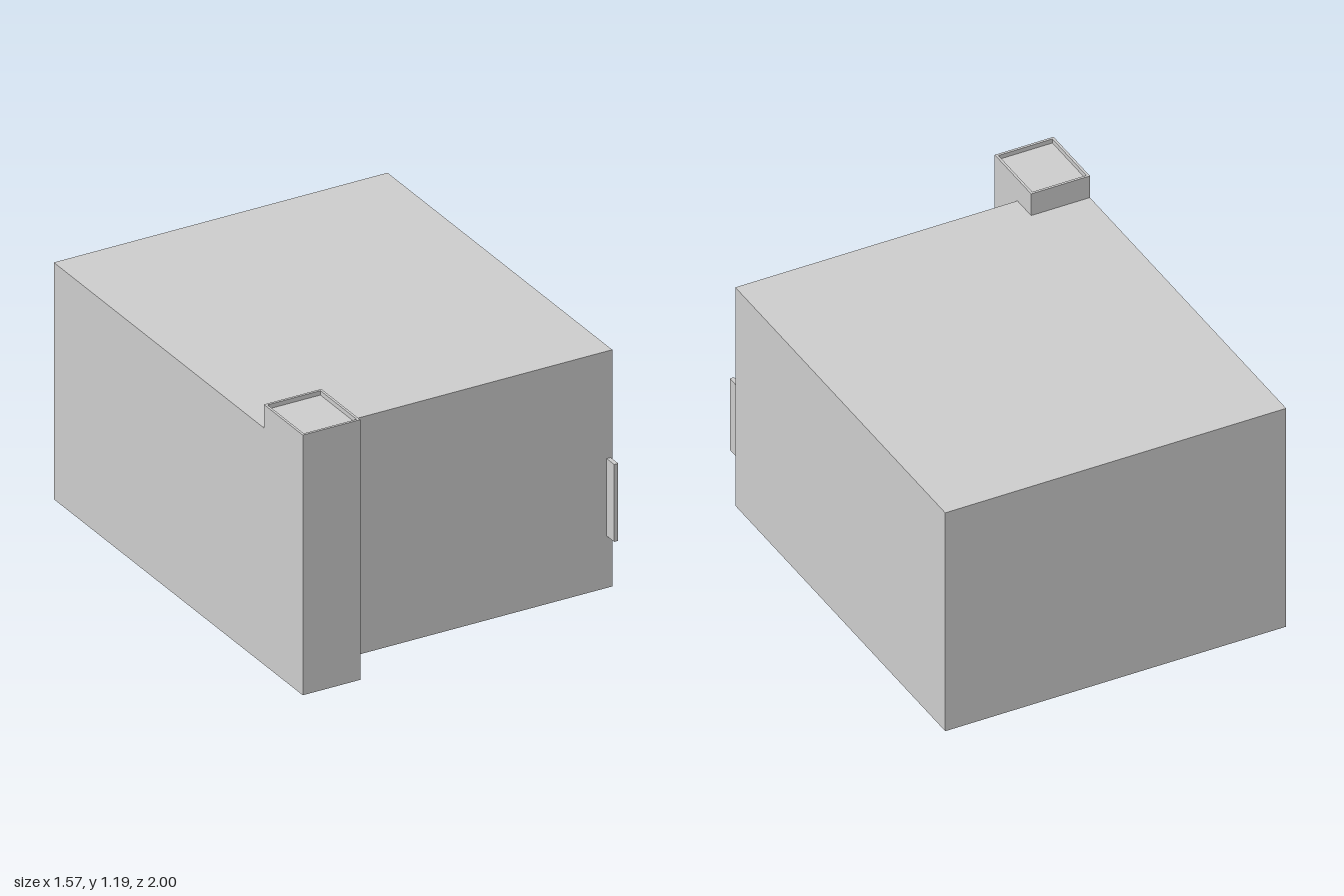
import * as THREE from 'three';

const shellGrey = new THREE.MeshStandardMaterial({ color: 0xcccccc, side: THREE.DoubleSide });
shellGrey.name = 'light grey';

// Box between two corners
function boxBetween(x0, x1, y0, y1, z0, z1) {
  return new THREE.BoxGeometry(x1 - x0, y1 - y0, z1 - z0)
    .translate((x0 + x1) / 2, (y0 + y1) / 2, (z0 + z1) / 2);
}

// Thin shell: a box whose bottom face is left out
function openBottom(geometry) {
  const index = Array.from(geometry.index.array);
  index.splice(18, 6);
  geometry.setIndex(index);
  geometry.clearGroups();
  return geometry;
}

function rectangle(PathType, w, d) {
  return new PathType([[-w, -d], [w, -d], [w, d], [-w, d]]
    .map(([x, y]) => new THREE.Vector2(x / 2, y / 2)));
}

export function createModel() {
  const model = new THREE.Group();
  model.name = 'building';
  const add = (name, geometry, parent = model) => {
    const mesh = new THREE.Mesh(geometry, shellGrey);
    mesh.name = name;
    parent.add(mesh);
  };

  // Hollow main block, open underneath
  add('mainBlock', openBottom(boxBetween(-0.783, 0.783, 0, 1.08, -1, 0.805)));

  // Hollow corner pillar that pokes through the front wall and the roof
  const pillar = new THREE.Group();
  pillar.name = 'cornerPillar';
  model.add(pillar);
  const x0 = -0.783, x1 = -0.513, z0 = 0.687, z1 = 1;
  const top = 1.187, recess = 0.02, rim = 0.011;
  add('pillarShaft', openBottom(boxBetween(x0, x1, 0, top - recess, z0, z1)), pillar);

  // Raised rim around the pillar's sunken top
  const frame = rectangle(THREE.Shape, x1 - x0, z1 - z0);
  frame.holes.push(rectangle(THREE.Path, x1 - x0 - 2 * rim, z1 - z0 - 2 * rim));
  const rimGeometry = new THREE.ExtrudeGeometry(frame, { depth: recess, bevelEnabled: false })
    .rotateX(-Math.PI / 2)
    .translate((x0 + x1) / 2, top - recess, (z0 + z1) / 2);
  add('pillarRim', rimGeometry, pillar);

  // Narrow upright sign blade on the front wall
  add('wallBlade', boxBetween(0.757, 0.776, 0.237, 0.59, 0.805, 0.865));

  return model;
}
